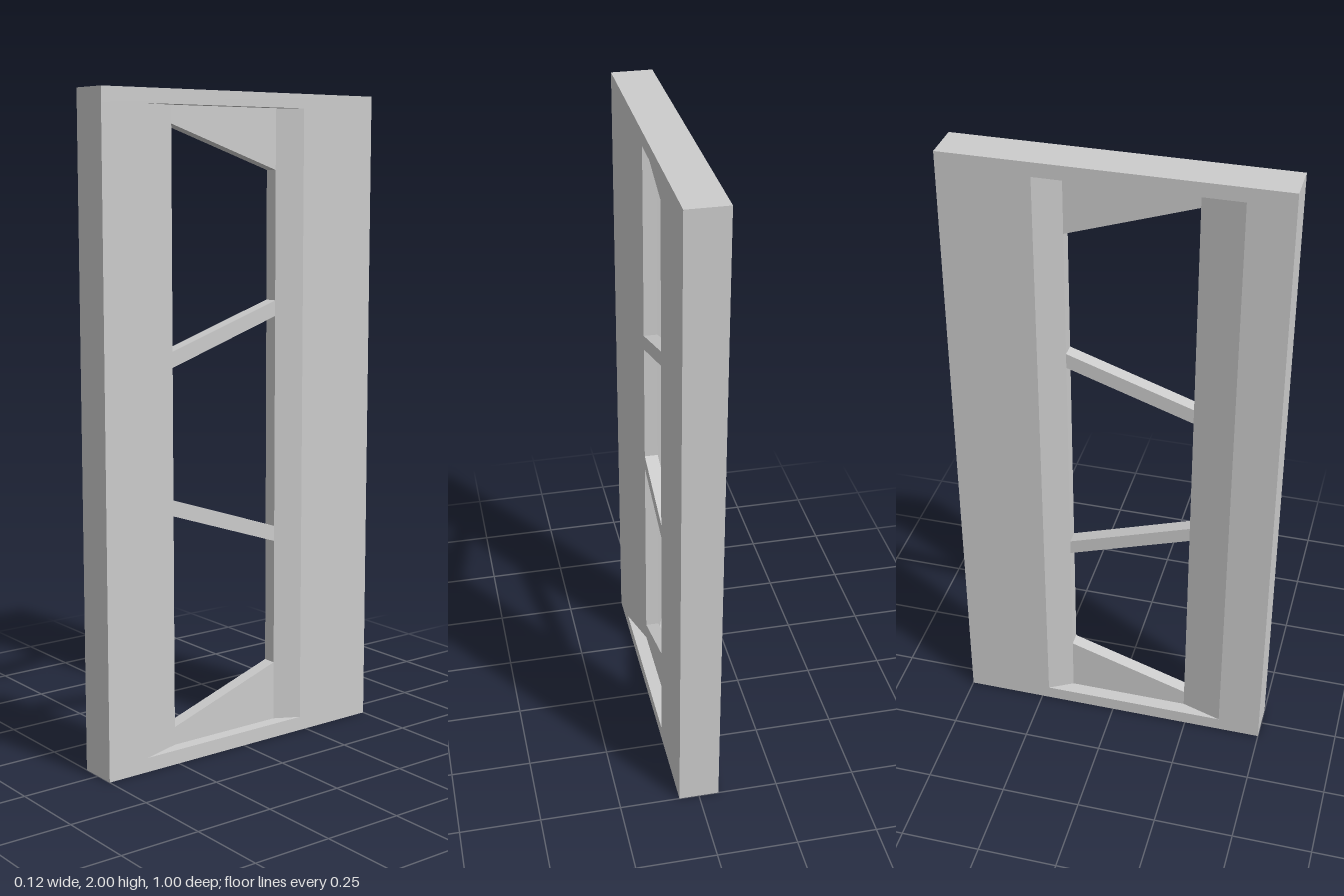
import * as THREE from 'three';

const T = 0.0625;   // half thickness of the frame
const P = 0.0215;   // half thickness of the recessed panel
const LOW = 0.044, HIGH = 1.957; // recess bottom and top
const FRONT = 0.236, BACK = -0.15; // z of the two opening edges

const material = new THREE.MeshStandardMaterial({ color: 0xcccccc, flatShading: true });

function shapeOf(points) {
  return new THREE.Shape(points.map(([x, y]) => new THREE.Vector2(x, y)));
}

export function createModel() {
  const model = new THREE.Group();
  model.name = 'door';
  const add = (name, geometry) => {
    const mesh = new THREE.Mesh(geometry, material);
    mesh.name = name;
    model.add(mesh);
    return mesh;
  };

  // Upright with a bevelled inner side: outer edge, start of bevel, opening edge
  const stile = (name, outer, bevel, inner) => {
    const section = [[-T, outer], [T, outer], [T, bevel], [P, inner], [-P, inner], [-T, bevel]];
    const geometry = new THREE.ExtrudeGeometry(shapeOf(section.map(([x, z]) => [x, -z])),
      { depth: HIGH - LOW, bevelEnabled: false });
    geometry.rotateX(-Math.PI / 2).translate(0, LOW, 0);
    add(name, geometry);
  };
  stile('frontStile', 0.5, 0.365, FRONT);
  stile('backStile', -0.5, -0.226, BACK);

  // Rails across the full width
  const rail = (name, y0, y1) => {
    add(name, new THREE.BoxGeometry(2 * T, y1 - y0, 1)).position.y = (y0 + y1) / 2;
  };
  rail('bottomRail', 0, LOW);
  rail('topRail', HIGH, 2);

  // Thin panel pieces between the stiles: lower and upper heights at each edge
  const pieces = [
    ['bottomPanel', LOW, 0.1, LOW, 0.23],
    ['lowerBar', 0.755, 0.803, 0.625, 0.673],
    ['upperBar', 1.2, 1.248, 1.332, 1.38],
    ['topPanel', 1.904, HIGH, 1.774, HIGH],
  ];
  for (const [name, f0, f1, b0, b1] of pieces) {
    const shape = shapeOf([[-FRONT, f0], [-BACK, b0], [-BACK, b1], [-FRONT, f1]]);
    const geometry = new THREE.ExtrudeGeometry(shape, { depth: 2 * P, bevelEnabled: false });
    geometry.translate(0, 0, -P).rotateY(Math.PI / 2);
    add(name, geometry);
  }
  return model;
}
